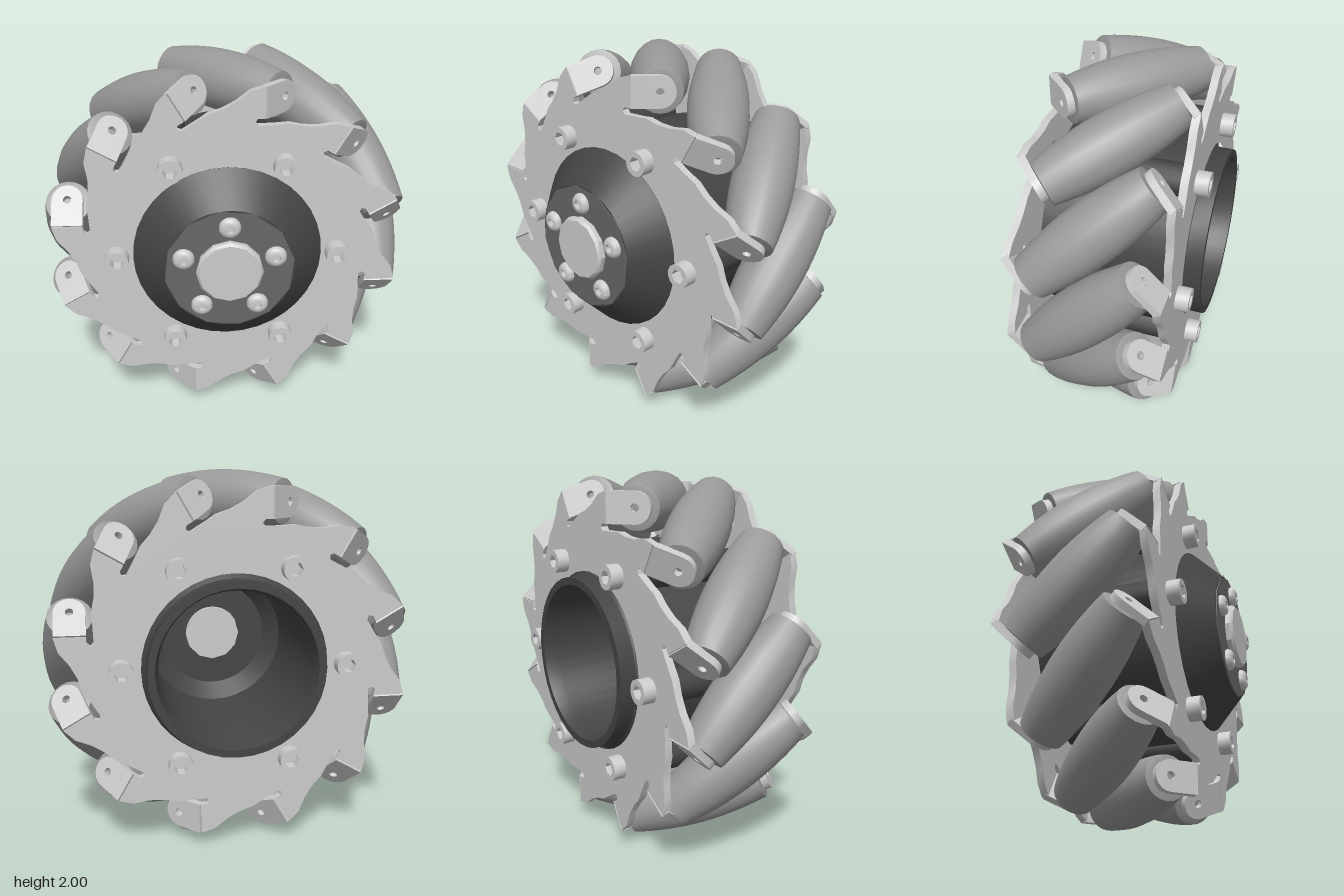
import * as THREE from 'three';
import { toCreasedNormals } from 'three/addons/utils/BufferGeometryUtils.js';

const mat = (color) => new THREE.MeshStandardMaterial({ color });
const METAL = mat(0xcccccc), RUBBER = mat(0x999999), HUB = mat(0x444444), CAP = mat(0x666666);

const COUNT = 12;      // rollers
const MID_Z = -0.0625; // middle plane between the plates
const AXIS_R = 0.84;   // distance of the roller axes from the wheel axis
const PLATE_Z = 0.38;  // plate distance from the middle plane
const THICK = 0.04;
const BEND = 0.186;    // where a tab folds off its plate

function add(parent, name, geometry, material) {
  const mesh = new THREE.Mesh(geometry, material);
  mesh.name = name;
  parent.add(mesh);
  return mesh;
}

// Lathe whose axis lies along z; profile is [radius, z]
function latheZ(profile, segments, crease = 0.6) {
  const g = new THREE.LatheGeometry(profile.map(([r, z]) => new THREE.Vector2(r, z)), segments);
  g.rotateX(Math.PI / 2);
  return toCreasedNormals(g, crease);
}

function extrude(shape, depth, curveSegments = 8) {
  const g = new THREE.ExtrudeGeometry(shape, { depth, bevelEnabled: false, curveSegments });
  return toCreasedNormals(g, 0.6);
}

function hexHole(r) {
  const pts = [];
  for (let i = 0; i < 6; i++) {
    const a = i * Math.PI / 3;
    pts.push(new THREE.Vector2(r * Math.cos(a), r * Math.sin(a)));
  }
  return new THREE.Path(pts);
}

// Plate with one swept arm per roller
function plateGeometry() {
  const arm = [[-0.1, 0.785], [-0.03, 0.808], [0.04, 0.845], [0.11, 0.9], [BEND, 0.922], [BEND, 0.758],
    [0.15, 0.758], [0.135, 0.74], [0.15, 0.722], [0.24, 0.725]];
  const pts = [];
  for (let i = 0; i < COUNT; i++) {
    const a = -i * 2 * Math.PI / COUNT, c = Math.cos(a), s = Math.sin(a);
    for (const [x, y] of arm) pts.push(new THREE.Vector2(x * c - y * s, x * s + y * c));
  }
  const shape = new THREE.Shape(pts);
  shape.holes.push(new THREE.Path().absarc(0, 0, 0.49, 0, Math.PI * 2, true));
  return extrude(shape, THICK, 20).translate(0, 0, PLATE_Z - THICK / 2);
}

// Rounded tab folded 45 degrees inward across the roller end
function tabGeometry() {
  const r = 0.082, len = 0.137;
  const shape = new THREE.Shape();
  shape.moveTo(-0.008, -r);
  shape.lineTo(len, -r);
  shape.absarc(len, 0, r, -Math.PI / 2, Math.PI / 2, false);
  shape.lineTo(-0.008, r);
  shape.closePath();
  const hole = new THREE.Path();
  hole.absarc(len, 0, 0.022, 0, Math.PI * 2, true);
  shape.holes.push(hole);
  return extrude(shape, THICK, 5)
    .translate(0, 0, -THICK / 2)
    .rotateY(Math.PI / 4)
    .translate(BEND, AXIS_R, PLATE_Z);
}

// Barrel roller whose curve keeps the wheel's rim round
function rollerGeometry() {
  const half = 0.378, steps = 12;
  const profile = [[0, -half - 0.004], [0.1, -half - 0.004]];
  for (let i = 0; i <= steps; i++) {
    const t = -half + 2 * half * i / steps;
    profile.push([1 - Math.sqrt(AXIS_R * AXIS_R + t * t / 2), t]);
  }
  profile.push([0.1, half + 0.004], [0, half + 0.004]);
  return latheZ(profile, 20).rotateY(Math.PI / 4).translate(0, AXIS_R, 0);
}

function capScrewGeometry() {
  const shape = new THREE.Shape().absarc(0, 0, 0.064, 0, Math.PI * 2, false);
  shape.holes.push(hexHole(0.038));
  return extrude(shape, 0.07, 12);
}

export function createModel() {
  const model = new THREE.Group();
  model.name = 'rollerWheel';
  const wheel = new THREE.Group();
  wheel.name = 'wheel';
  wheel.position.y = 1;
  model.add(wheel);

  // Plates, tabs and screws: the back side is the front turned half round
  const plate = plateGeometry(), tab = tabGeometry(), screw = capScrewGeometry();
  for (const [side, turn] of [['front', 0], ['back', Math.PI]]) {
    const half = new THREE.Group();
    half.name = side + 'Side';
    half.position.z = MID_Z;
    half.rotation.y = turn;
    wheel.add(half);
    add(half, side + 'Plate', plate, METAL);
    for (let i = 0; i < COUNT; i++) {
      add(half, side + 'Tab', tab, METAL).rotation.z = i * 2 * Math.PI / COUNT;
    }
    for (let i = 0; i < 6; i++) {
      const a = i * Math.PI / 3;
      add(half, side + 'Screw', screw, METAL)
        .position.set(0.59 * Math.cos(a), 0.59 * Math.sin(a), PLATE_Z + THICK / 2);
    }
  }

  // Slanted rollers
  const roller = rollerGeometry();
  for (let i = 0; i < COUNT; i++) {
    const r = add(wheel, 'roller', roller, RUBBER);
    r.position.z = MID_Z;
    r.rotation.z = i * 2 * Math.PI / COUNT;
  }

  // Spacers between the plates
  const spacer = new THREE.CylinderGeometry(0.085, 0.085, 2 * PLATE_Z - THICK, 12).rotateX(Math.PI / 2);
  for (let i = 0; i < 6; i++) {
    const a = i * Math.PI / 3;
    add(wheel, 'spacer', spacer, HUB).position.set(0.59 * Math.cos(a), 0.59 * Math.sin(a), MID_Z);
  }

  // Hub: open barrel at the back, cone at the front
  add(wheel, 'hub', latheZ([
    [0.425, -0.55], [0.465, -0.55], [0.465, -0.462], [0.5, -0.42], [0.55, -0.42], [0.55, 0.295],
    [0.505, 0.295], [0.505, 0.34], [0.34, 0.505], [0.165, 0.505], [0.165, 0.4],
    [0.32, 0.4], [0.405, 0.3], [0.405, -0.48], [0.425, -0.55],
  ], 36, 0.4), HUB);

  // Faceted hub cap with a central boss
  const ring = new THREE.Shape();
  for (let i = 0; i < 12; i++) {
    const a = (i + 0.3) * Math.PI / 6;
    ring[i ? 'lineTo' : 'moveTo'](0.34 * Math.cos(a), 0.34 * Math.sin(a));
  }
  ring.closePath();
  add(wheel, 'hubCap', extrude(ring, 0.01).translate(0, 0, 0.5), CAP);
  add(wheel, 'boss', latheZ([
    [0, 0.39], [0.165, 0.39], [0.175, 0.5], [0.175, 0.535], [0.162, 0.55], [0, 0.55],
  ], 12, 0.4), METAL);

  // Five button screws around the boss
  const button = latheZ([
    [0.057, 0], [0.057, 0.012], [0.048, 0.028], [0.032, 0.035], [0.022, 0.035], [0.022, 0.008], [0, 0.008],
  ], 18, 0.7);
  for (let i = 0; i < 5; i++) {
    const a = Math.PI / 2 + i * 2 * Math.PI / 5;
    add(wheel, 'buttonScrew', button, METAL).position.set(0.25 * Math.cos(a), 0.25 * Math.sin(a), 0.508);
  }
  return model;
}
